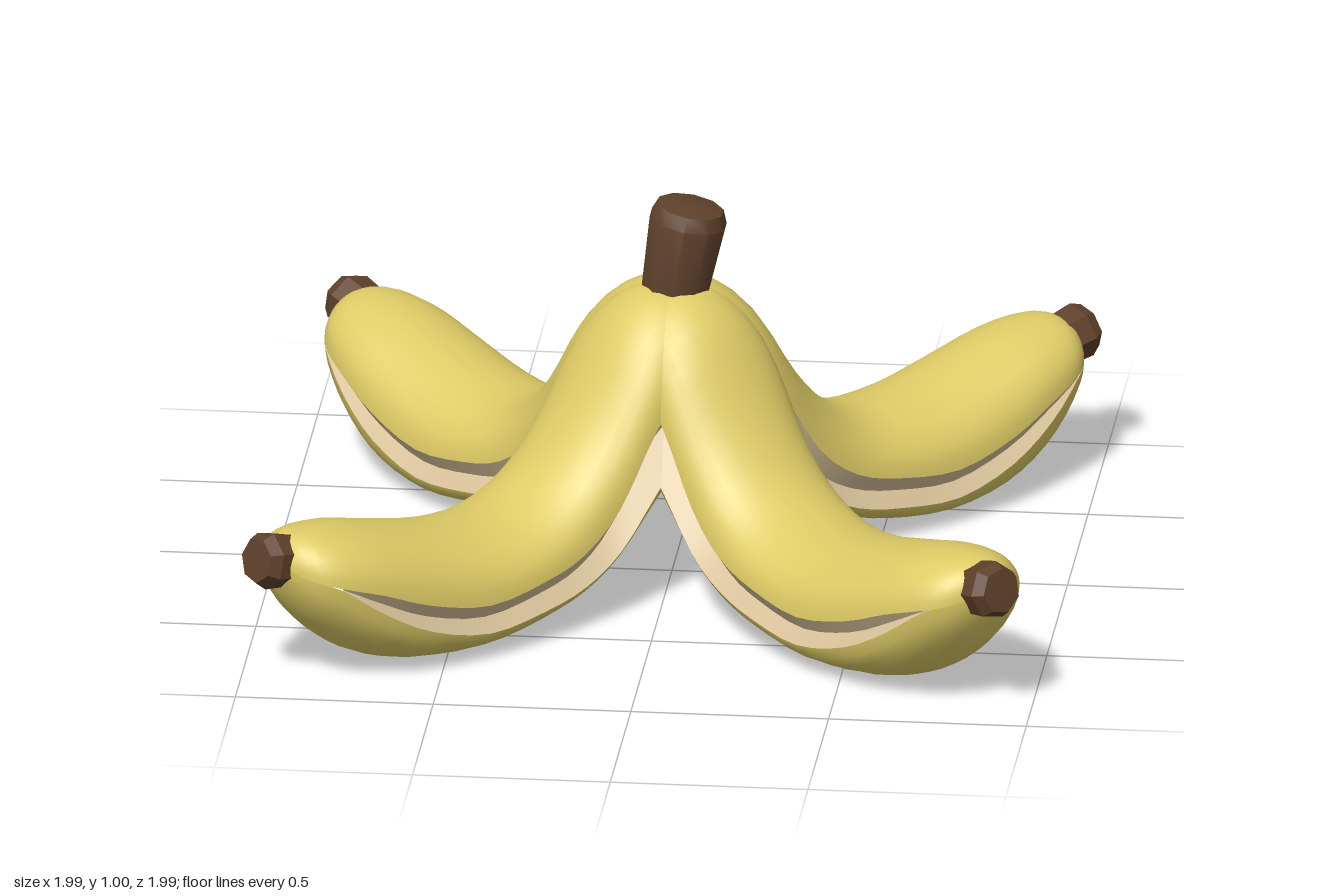
import * as THREE from 'three';
import { toCreasedNormals } from 'three/addons/utils/BufferGeometryUtils.js';

const mat = (name, color) => {
  const m = new THREE.MeshStandardMaterial({ color });
  m.name = name;
  return m;
};

// Peel arm stations: distance out, top, strip top, strip bottom, underside, half width
const STATIONS = [
  [0.00, 0.79, 0.60, 0.46, 0.31, 0.190],
  [0.10, 0.775, 0.57, 0.42, 0.29, 0.190],
  [0.20, 0.70, 0.49, 0.32, 0.24, 0.192],
  [0.32, 0.52, 0.31, 0.19, 0.145, 0.195],
  [0.44, 0.385, 0.215, 0.125, 0.075, 0.203],
  [0.58, 0.315, 0.175, 0.095, 0.03, 0.212],
  [0.76, 0.32, 0.155, 0.08, 0.005, 0.215],
  [0.94, 0.36, 0.195, 0.125, 0.012, 0.207],
  [1.08, 0.395, 0.25, 0.20, 0.06, 0.188],
  [1.19, 0.405, 0.285, 0.28, 0.145, 0.155],
  [1.25, 0.39, 0.305, 0.305, 0.225, 0.105],
  [1.285, 0.35, 0.33, 0.33, 0.31, 0.03],
];
const LAST = STATIONS.length - 1;
const spline = (a, b) => new THREE.CatmullRomCurve3(
  STATIONS.map((s) => new THREE.Vector3(s[0], s[a], s[b])), false, 'catmullrom');
const topWidth = spline(1, 5), strip = spline(2, 3), under = spline(4, 4);

function sectionAt(t) {
  const a = topWidth.getPoint(t), b = strip.getPoint(t), c = under.getPoint(t);
  return { r: a.x, top: a.y, width: a.z, hi: b.y, lo: Math.min(b.y, b.z), bottom: c.y };
}

// Surface swept outward; point(section, v) gives [y, z] across the arm
function sweep(point, rows, cols, tEnd) {
  const pos = [], index = [];
  for (let i = 0; i <= rows; i++) {
    const s = sectionAt((i / rows) * tEnd);
    for (let j = 0; j <= cols; j++) pos.push(s.r, ...point(s, j / cols));
  }
  for (let i = 0; i < rows; i++) {
    for (let j = 0; j < cols; j++) {
      const a = i * (cols + 1) + j, b = a + cols + 1;
      index.push(a, b, b + 1, a, b + 1, a + 1);
    }
  }
  const g = new THREE.BufferGeometry();
  g.setAttribute('position', new THREE.Float32BufferAttribute(pos, 3));
  g.setIndex(index);
  g.computeVertexNormals();
  return g;
}

const upperSkin = (s, v) => [
  s.hi + (s.top - s.hi) * Math.sin(v * Math.PI), s.width * Math.cos(v * Math.PI)];
const lowerSkin = (s, v) => [
  s.lo - (s.lo - s.bottom) * Math.sin(v * Math.PI), -s.width * Math.cos(v * Math.PI)];
// V-shaped groove along one side of the arm
const groove = (side) => (s, v) => {
  const depth = 0.35 * (s.hi - s.lo) * (1 - Math.abs(2 * v - 1));
  const k = side > 0 ? v : 1 - v;
  return [s.lo + (s.hi - s.lo) * k, side * (s.width - depth)];
};

export function createModel() {
  const yellow = mat('peel yellow', 0xdecb66);
  const cream = mat('inner cream', 0xdbc59c);
  const brown = mat('stem brown', 0x5f412b);

  const model = new THREE.Group();
  model.name = 'bananaPeel';
  const add = (parent, name, geometry, material) => {
    const mesh = new THREE.Mesh(geometry, material);
    mesh.name = name;
    parent.add(mesh);
    return mesh;
  };

  const upper = sweep(upperSkin, 33, 16, 1);
  const lower = sweep(lowerSkin, 33, 12, 1);
  const stripEnd = (LAST - 2) / LAST;
  const grooves = [1, -1].map((side) =>
    toCreasedNormals(sweep(groove(side), 27, 2, stripEnd), 0.5));

  // Blunt dried end of each arm
  const tipProfile = [[0, -0.07], [0.068, -0.07], [0.074, 0.03], [0.058, 0.06], [0, 0.062]]
    .map(([x, y]) => new THREE.Vector2(x, y));
  const tipGeometry = toCreasedNormals(new THREE.LatheGeometry(tipProfile, 7), 0.5);

  // Four arms splayed along the diagonals
  for (let k = 0; k < 4; k++) {
    const arm = new THREE.Group();
    arm.name = 'peelArm' + (k + 1);
    arm.rotation.y = Math.PI / 4 + (k * Math.PI) / 2;
    add(arm, 'upperSkin', upper, yellow);
    add(arm, 'lowerSkin', lower, yellow);
    grooves.forEach((g, i) => add(arm, i ? 'rightInnerStrip' : 'leftInnerStrip', g, cream));
    const tip = add(arm, 'armTip', tipGeometry, brown);
    tip.position.set(1.275, 0.335, 0.015);
    tip.rotation.z = -Math.PI / 2 + 0.2;
    model.add(arm);
  }

  // Central stem, leaning toward +x with a slanted top
  const stemProfile = [[0.088, 0.72], [0.09, 0.78], [0.099, 0.95], [0.085, 0.985], [0.05, 0.995], [0, 0.995]]
    .map(([x, y]) => new THREE.Vector2(x, y));
  const stem = new THREE.LatheGeometry(stemProfile, 10);
  const p = stem.attributes.position;
  for (let i = 0; i < p.count; i++) {
    const x = p.getX(i), y = p.getY(i);
    const slant = y > 0.9 ? -0.18 * x : 0;
    p.setXY(i, x + 0.012 + (y - 0.78) * 0.17, y + slant);
  }
  add(model, 'stem', toCreasedNormals(stem, 0.7), brown);

  return model;
}
